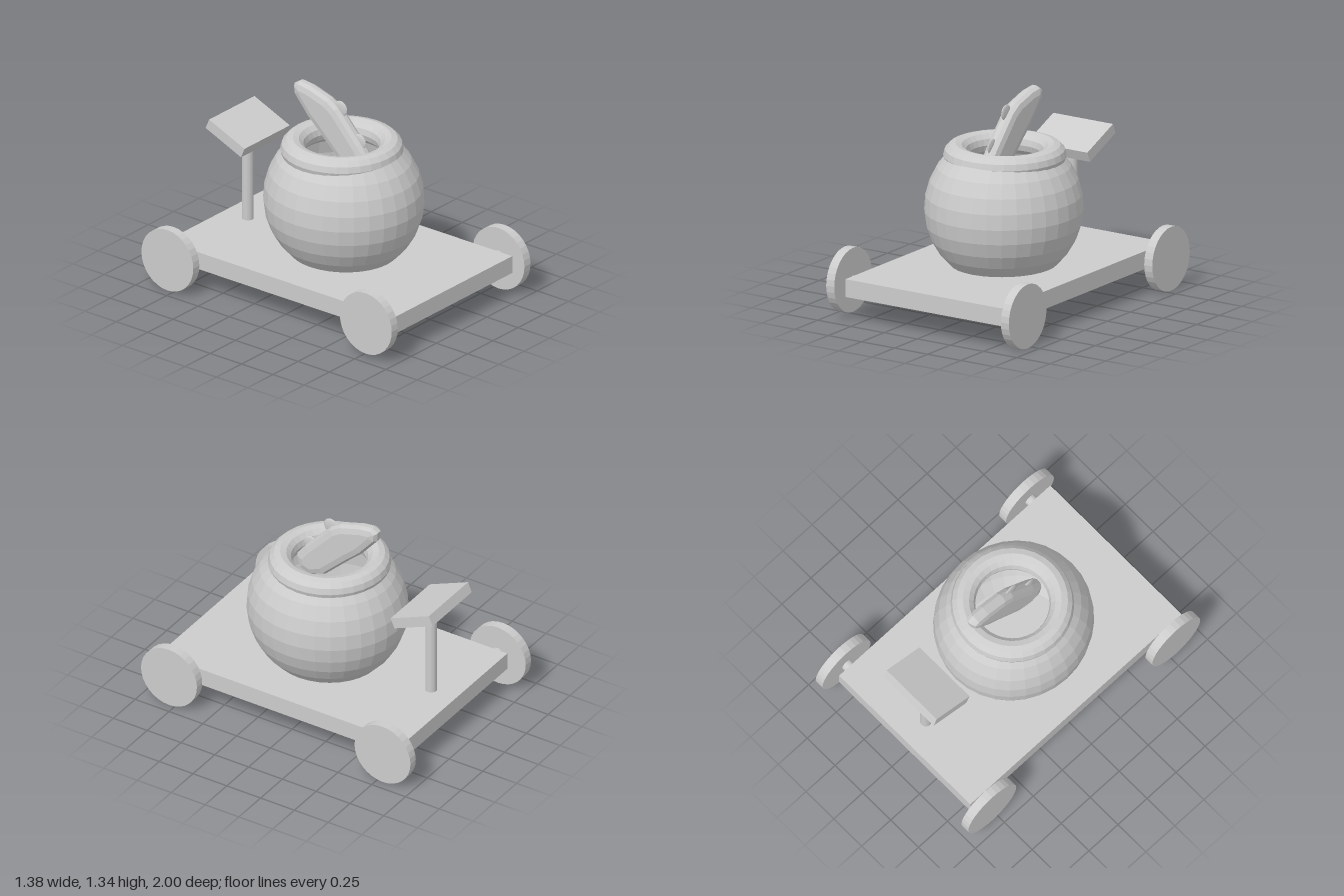
import * as THREE from 'three';

export function createModel() {
  const group = new THREE.Group();
  const mat = new THREE.MeshStandardMaterial({ color: 0xcccccc, flatShading: true });
  const openMat = new THREE.MeshStandardMaterial({ color: 0xcccccc, flatShading: true, side: THREE.DoubleSide });

  const add = (name, geometry, x, y, z, material = mat) => {
    const mesh = new THREE.Mesh(geometry, material);
    mesh.name = name;
    mesh.position.set(x, y, z);
    group.add(mesh);
    return mesh;
  };

  // Flat cart bed
  add('platform', new THREE.BoxGeometry(1.18, 0.115, 1.82), 0, 0.2225, 0.02);

  // Four wheels on short axle stubs: side, height, z
  const wheels = [
    ['frontLeft', 1, 0.212, 0.79], ['frontRight', -1, 0.237, 0.79],
    ['backLeft', 1, 0.212, -0.79], ['backRight', -1, 0.212, -0.795],
  ];
  for (const [name, side, y, z] of wheels) {
    const wheel = new THREE.CylinderGeometry(0.207, 0.207, 0.061, 32).rotateZ(Math.PI / 2);
    add(name + 'Wheel', wheel, side * 0.658, y, z);
    const axle = new THREE.CylinderGeometry(0.038, 0.038, 0.1, 24).rotateZ(Math.PI / 2);
    add(name + 'Axle', axle, side * 0.6, y + (y > 0.22 ? -0.01 : 0.015), z);
  }

  // Round open pot with a thick rim
  const bowl = new THREE.SphereGeometry(0.49, 32, 8, 0, Math.PI * 2, 0.8, 1.6);
  add('pot', bowl, 0.007, 0.64, 0.055, openMat).scale.z = 1.045;
  const rim = new THREE.TorusGeometry(0.308, 0.077, 12, 32).rotateX(Math.PI / 2);
  add('potRim', rim, 0.005, 0.973, 0.042);

  // Flat paddle leaning in the pot; outline drawn as (-z, y)
  const outline = [
    [-0.27, 0.96], [-0.2, 1.05], [-0.02, 1.245], [0.05, 1.29], [0.2, 1.335], [0.285, 1.345],
    [0.325, 1.32], [0.32, 1.26], [0.21, 1.13], [0.12, 1.05], [-0.06, 0.88], [-0.16, 0.84], [-0.25, 0.87],
  ].map(([a, b]) => new THREE.Vector2(a, b));
  const bevel = 0.05;
  const paddle = new THREE.ExtrudeGeometry(new THREE.Shape(outline), {
    depth: 0.03, bevelEnabled: true, bevelSize: bevel, bevelOffset: -bevel,
    bevelThickness: 0.036, bevelSegments: 2,
  });
  paddle.translate(0, 0, -0.015).rotateY(Math.PI / 2);
  // rotateY sends shape x to -z
  add('paddle', paddle, 0.006, 0, 0);

  // Small rounded studs along the paddle's upper edge
  for (const [y, z] of [[1.24, 0.03], [1.055, 0.18]]) {
    const stud = new THREE.SphereGeometry(0.052, 16, 10).scale(0.22, 1, 1);
    add('paddleStud', stud, 0.006, y, z);
  }

  // Push handle: upright post with a tilted board
  add('handlePost', new THREE.CylinderGeometry(0.037, 0.037, 0.62, 24), 0, 0.58, -0.707);
  add('handleBoard', new THREE.BoxGeometry(0.45, 0.071, 0.307), -0.003, 0.907, -0.705).rotation.x = 0.4;

  return group;
}
